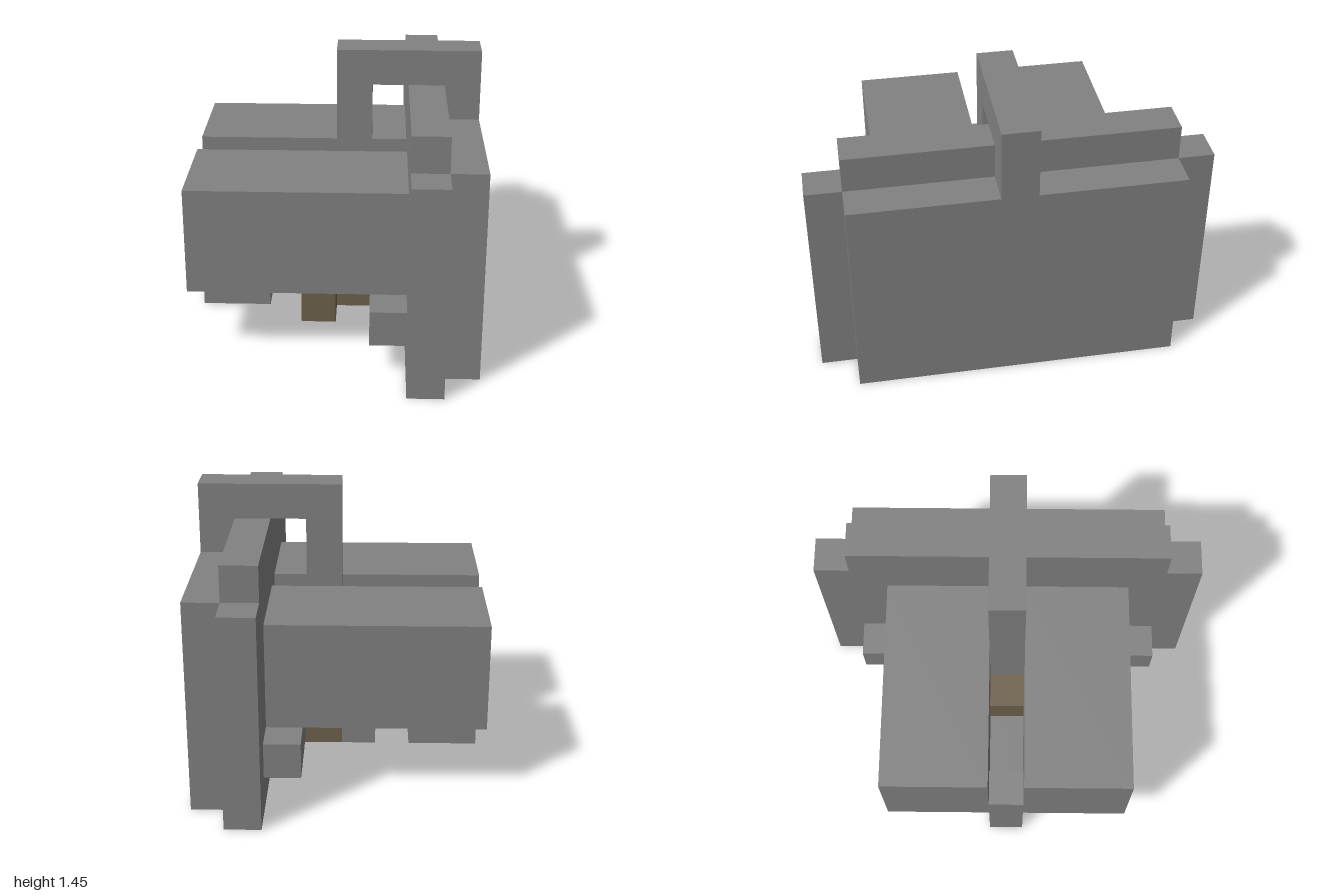
import * as THREE from 'three';

const U = 2 / 11; // one block

export function createModel() {
  const group = new THREE.Group();
  const grey = new THREE.MeshStandardMaterial({ color: 0x828282 });
  grey.name = 'grey';
  const brown = new THREE.MeshStandardMaterial({ color: 0x6f624d });
  brown.name = 'brown';

  // Box given by its limits, counted in blocks
  function block(name, x0, x1, y0, y1, z0, z1, material = grey) {
    const geometry = new THREE.BoxGeometry((x1 - x0) * U, (y1 - y0) * U, (z1 - z0) * U);
    const mesh = new THREE.Mesh(geometry, material);
    mesh.position.set((x0 + x1) / 2 * U, (y0 + y1) / 2 * U, (z0 + z1) / 2 * U);
    mesh.name = name;
    group.add(mesh);
  }

  // Layered end plate with a ridge on top
  block('outerPlate', 3, 4, 0, 6, -4.5, 4.5);
  block('innerPlate', 2, 3, 0, 6, -5.5, 5.5);
  block('plateRidge', 2, 3, 6, 7, -4.5, 4.5);

  // Cross bar behind the plate
  block('crossBar', 1, 2, 1, 2, -4.5, 4.5);

  // Pair of long side bodies
  block('leftBody', -4, 2, 2, 5, 0.5, 3.5);
  block('rightBody', -4, 2, 2, 5, -3.5, -0.5);

  // Centre rail between the bodies, and its foot
  block('centreRail', -4, 1, 1, 2, -0.5, 0.5);
  block('railEnd', -4, -3, 2, 3, -0.5, 0.5);
  block('foot', -4, -2, 0, 1, -0.5, 0.5);

  // Arched handle
  block('handlePost', 0, 1, 2, 7, -0.5, 0.5);
  block('handleTop', 0, 4, 7, 8, -0.5, 0.5);
  block('handleBase', 2, 4, 6, 7, -0.5, 0.5);

  // Wooden grip, side knob and inner block
  block('grip', 0, 2, 0, 1, -0.5, 0.5, brown);
  block('gripTip', -1, 0, 0, 1, -0.5, 0.5);
  block('sideKnob', -1, 0, 0, 1, 0.5, 1.5, brown);
  block('innerBlock', -1, 0, 2, 3, -0.5, 0.5, brown);

  return group;
}
